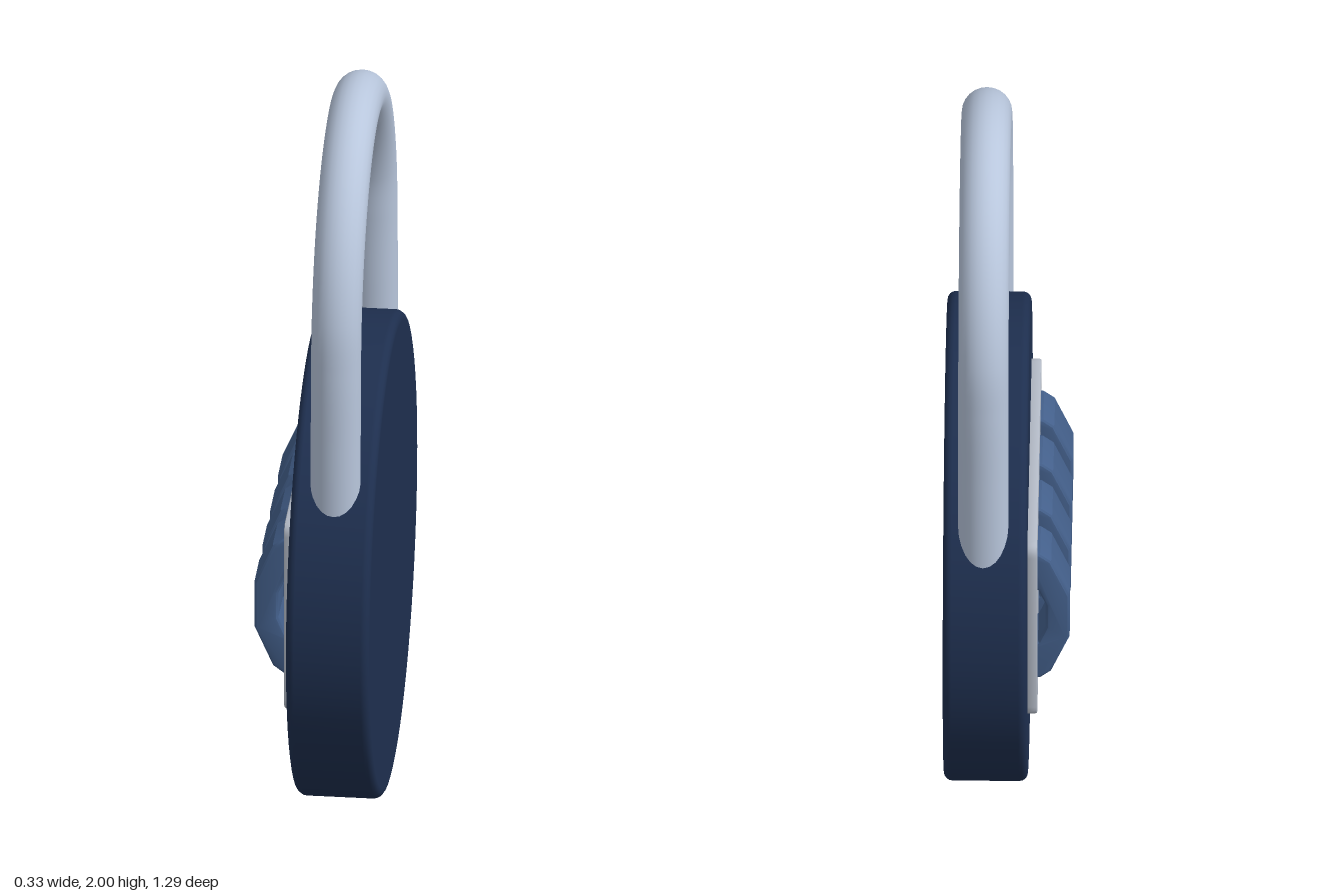
import * as THREE from 'three';
import { toCreasedNormals } from 'three/addons/utils/BufferGeometryUtils.js';

const mat = (color, side = THREE.FrontSide) => new THREE.MeshStandardMaterial({ color, side });

function roundedRect(target, u0, u1, v0, v1, r) {
  target.moveTo(u0 + r, v0);
  target.lineTo(u1 - r, v0);
  target.quadraticCurveTo(u1, v0, u1, v0 + r);
  target.lineTo(u1, v1 - r);
  target.quadraticCurveTo(u1, v1, u1 - r, v1);
  target.lineTo(u0 + r, v1);
  target.quadraticCurveTo(u0, v1, u0, v1 - r);
  target.lineTo(u0, v0 + r);
  target.quadraticCurveTo(u0, v0, u0 + r, v0);
  return target;
}

export function createModel() {
  const model = new THREE.Group();
  const add = (name, geometry, material) => {
    const mesh = new THREE.Mesh(geometry, material);
    mesh.name = name;
    model.add(mesh);
    return mesh;
  };

  // Round body: a disc with softened rims, its axis along x
  const R = 0.643, half = 0.11, b = 0.022;
  const profile = [[0, -half], [R - b - 0.005, -half]];
  for (let i = 0; i <= 4; i++) {
    const a = (i / 4) * Math.PI / 2;
    profile.push([R - b + b * Math.sin(a), -half + b - b * Math.cos(a)]);
  }
  const mirrored = profile.slice().reverse().map(([r, h]) => [r, -h]);
  const points = [...profile, ...mirrored].map(([r, h]) => new THREE.Vector2(r, h));
  const body = add('body', new THREE.LatheGeometry(points, 64), mat(0x1e2f4f));
  body.rotation.z = -Math.PI / 2;
  body.position.set(0.055, R, 0);

  // Shackle: slightly splayed legs joined by an elliptical arch
  const squash = 0.885; // the bar is a little thinner across z
  const path = [[0.488, 0.85], [0.486, 1.0], [0.481, 1.2]];
  for (let i = 0; i <= 12; i++) {
    const a = (i / 12) * Math.PI;
    path.push([0.473 * Math.cos(a), 1.4 + 0.534 * Math.sin(a)]);
  }
  path.push([-0.481, 1.2], [-0.486, 1.0], [-0.488, 0.85]);
  const curve = new THREE.CatmullRomCurve3(path.map(([z, y]) => new THREE.Vector3(0, y, z / squash)));
  const shackle = add('shackle', new THREE.TubeGeometry(curve, 80, 0.066, 24), mat(0xb8c6dc, THREE.DoubleSide));
  shackle.scale.z = squash;
  shackle.position.set(0.06, 0, -0.021);

  // Dial frame: rounded plate with one window per dial
  const dialZ = [-0.315, -0.11, 0.09, 0.29];
  const plate = roundedRect(new THREE.Shape(), -0.45, 0.42, 0.38, 0.93, 0.035);
  for (const z of dialZ) plate.holes.push(roundedRect(new THREE.Path(), z - 0.085, z + 0.085, 0.43, 0.88, 0.012));
  const frame = add('dialFrame', toCreasedNormals(new THREE.ExtrudeGeometry(plate, {
    depth: 0.021, bevelThickness: 0.005, bevelSize: 0.005, bevelOffset: -0.005, bevelSegments: 2, curveSegments: 6,
  }), 0.6), mat(0xb3bac6));
  frame.rotation.y = -Math.PI / 2;
  frame.position.x = -0.055;

  // Number wheels: faceted crescents standing out of the windows
  const upper = [[-0.165, 0.068], [-0.117, 0.178], [-0.088, 0.2], [-0.05, 0.204],
    [-0.05, 0.1], [-0.082, 0.082], [-0.102, 0.035]];
  const lower = upper.slice().reverse().map(([x, y]) => [x, -y]);
  const crescent = new THREE.Shape([...upper, ...lower].map(([x, y]) => new THREE.Vector2(x, y)));
  const bevel = 0.012;
  const wheelGeometry = toCreasedNormals(new THREE.ExtrudeGeometry(crescent, {
    depth: 0.14 - 2 * bevel, bevelThickness: bevel, bevelSize: bevel, bevelOffset: -bevel, bevelSegments: 3,
  }), 0.4);
  wheelGeometry.translate(0, 0, bevel - 0.07);
  const wheelMaterial = mat(0x435f8a);
  dialZ.forEach((z, i) => {
    add('numberWheel' + (i + 1), wheelGeometry, wheelMaterial).position.set(0, 0.66, z);
  });

  return model;
}
